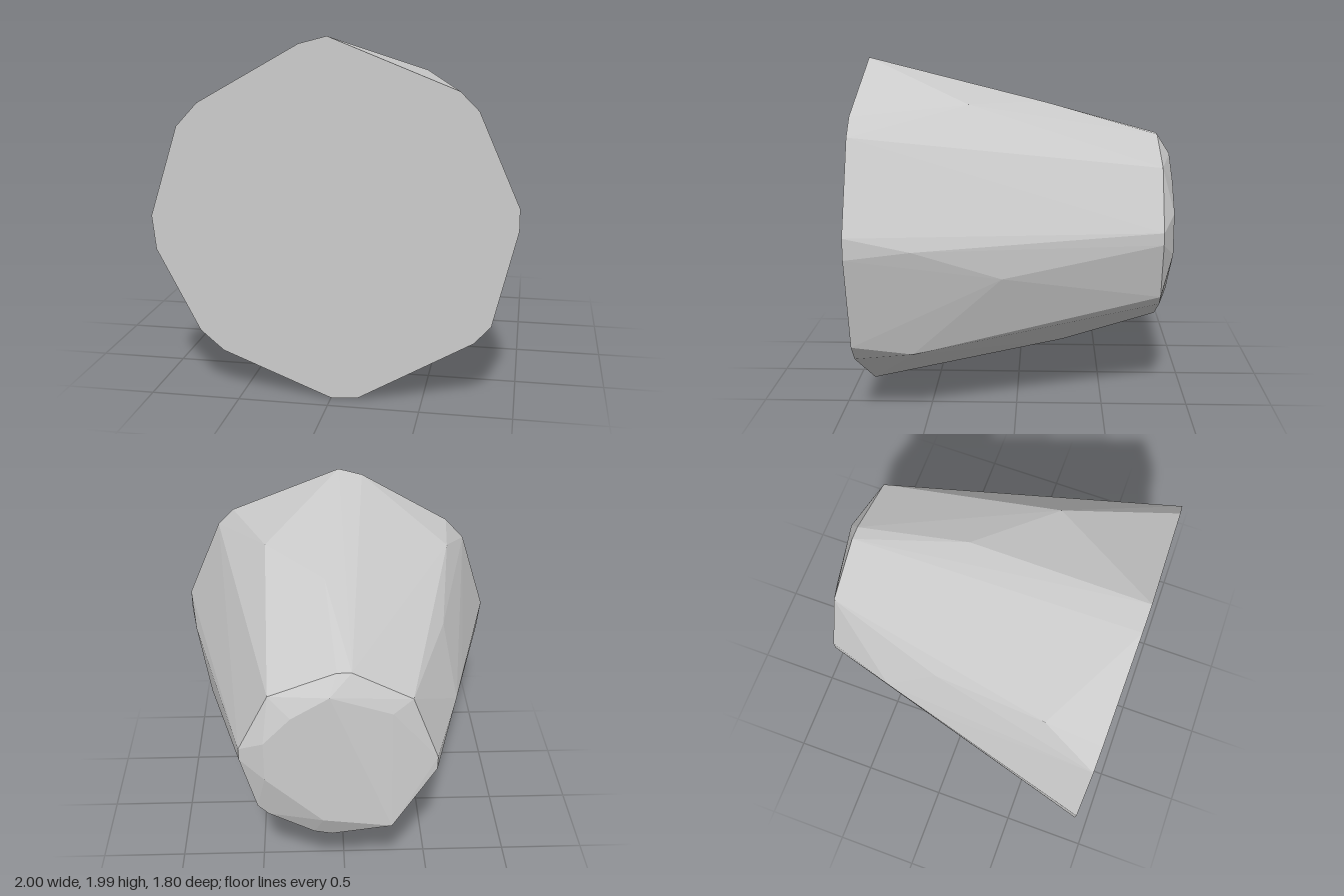
import * as THREE from 'three';
import { ConvexGeometry } from 'three/addons/geometries/ConvexGeometry.js';

// Flat front outline, x and y
const FRONT = [
  [-0.01, 1.99], [0.68, 1.72], [0.78, 1.62], [1, 1.12], [1, 1], [0.87, 0.47], [0.78, 0.37], [0.15, 0.01],
  [0, 0], [-0.61, 0.24], [-0.74, 0.35], [-0.98, 0.81], [-1, 1], [-0.84, 1.5], [-0.72, 1.63], [-0.16, 1.95],
];
// Outline where the taper meets the back bevel
const SHOULDER = [
  [-0.51, 0.98], [-0.51, 0.9], [-0.36, 1.37], [-0.03, 1.54], [0.05, 1.54], [0.42, 1.4],
  [0.59, 1.06], [0.59, 0.99], [0.5, 0.66], [0.44, 0.6], [0.18, 0.46], [0.08, 0.44],
];
// Small back face
const BACK = [[-0.26, 0.55], [0.13, 0.6], [0.45, 0.9], [0.45, 1.14], [0.3, 1.3], [0.09, 1.43]];
// Corners that bulge slightly out of the tapered sides
const BULGES = [
  [0.94, 1.03, 0.55], [0.81, 0.85, 0.07], [0.78, 0.4, 0.57], [0.45, 1.76, 0.27], [0.1, 1.74, -0.15],
  [-0.69, 1.6, 0.57], [-0.6, 1.41, -0.1], [-0.73, 1.08, -0.12], [-0.66, 1.08, -0.4],
  [-0.63, 0.33, 0.5], [-0.49, 0.43, -0.2], [0.11, 0.26, -0.27], [-0.25, 1.3, -0.87],
];

export function createModel() {
  const group = new THREE.Group();
  group.name = 'facetedTaperedBlock';

  const section = (outline, z) => outline.map(([x, y]) => new THREE.Vector3(x, y, z));
  const points = [
    ...section(FRONT, 0.9),
    ...section(SHOULDER, -0.83),
    ...section(BACK, -0.9),
    ...BULGES.map((p) => new THREE.Vector3(...p)),
  ];

  // Faceted convex body wrapped around the sections
  const body = new THREE.Mesh(
    new ConvexGeometry(points),
    new THREE.MeshStandardMaterial({ color: 0xcccccc, flatShading: true })
  );
  body.name = 'body';
  group.add(body);
  return group;
}
